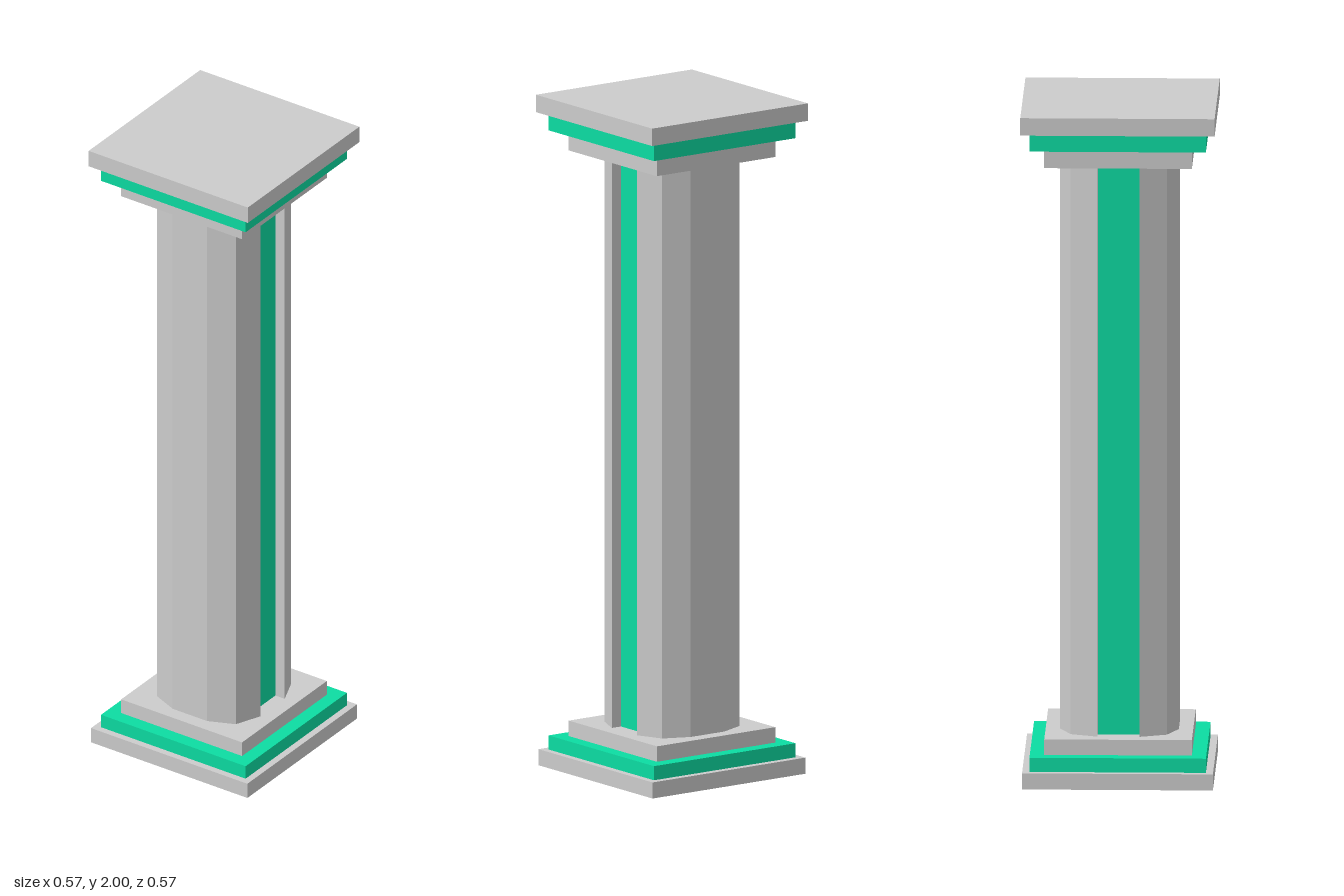
import * as THREE from 'three';

const grey = new THREE.MeshStandardMaterial({ color: 0xcccccc, flatShading: true });
const green = new THREE.MeshStandardMaterial({ color: 0x0cdca2, flatShading: true });

const SHAFT_BOTTOM = 0.136, SHAFT_TOP = 1.837;

function addBox(parent, name, material, size, position) {
  const mesh = new THREE.Mesh(new THREE.BoxGeometry(...size), material);
  mesh.name = name;
  mesh.position.set(...position);
  parent.add(mesh);
}

// Square slabs stacked from y0 upward: [half width, top y, material]
function slabStack(name, y0, tiers) {
  const group = new THREE.Group();
  group.name = name;
  let y = y0;
  tiers.forEach(([half, top, material], i) => {
    addBox(group, `${name}Slab${i + 1}`, material, [half * 2, top - y, half * 2], [0, (y + top) / 2, 0]);
    y = top;
  });
  return group;
}

export function createModel() {
  const model = new THREE.Group();
  model.name = 'column';
  const height = SHAFT_TOP - SHAFT_BOTTOM;

  // Stepped base and capital
  model.add(slabStack('base', 0, [[0.278, 0.048, grey], [0.257, 0.09, green], [0.215, SHAFT_BOTTOM, grey]]));
  model.add(slabStack('capital', SHAFT_TOP, [[0.215, 1.895, grey], [0.257, 1.948, green], [0.283, 2, grey]]));

  // Faceted shaft with a groove down each side; half the outline, the rest by point symmetry
  const half = [
    [0.13, -0.061], [0.13, 0.061], [0.173, 0.061], [0.14, 0.14],
    [0.061, 0.173], [-0.061, 0.173], [-0.14, 0.14], [-0.173, 0.061],
  ];
  const outline = [...half, ...half.map(([x, y]) => [-x, -y])];
  const shape = new THREE.Shape(outline.map(([x, y]) => new THREE.Vector2(x, y)));
  const geometry = new THREE.ExtrudeGeometry(shape, { depth: height, bevelEnabled: false });
  geometry.rotateX(-Math.PI / 2);
  const shaft = new THREE.Mesh(geometry, grey);
  shaft.name = 'shaft';
  shaft.position.y = SHAFT_BOTTOM;
  model.add(shaft);

  // Coloured strips set into the grooves
  for (const [side, name] of [[1, 'leftStrip'], [-1, 'rightStrip']]) {
    addBox(model, name, green, [0.01, height, 0.122], [side * 0.135, SHAFT_BOTTOM + height / 2, 0]);
  }
  return model;
}
